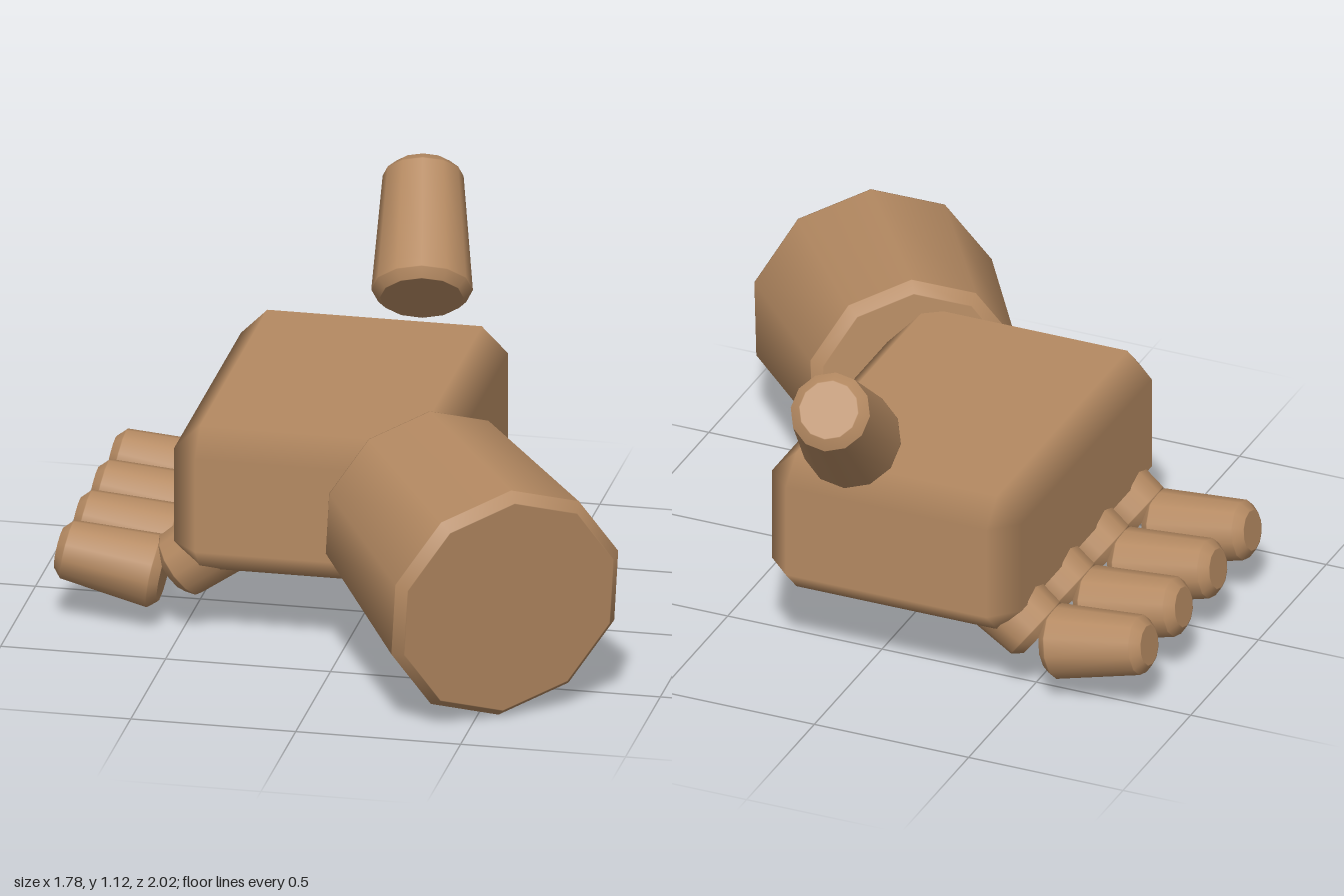
import * as THREE from 'three';
import { ConvexGeometry } from 'three/addons/geometries/ConvexGeometry.js';

const skin = new THREE.MeshStandardMaterial({ color: 0xb58a62 });

// Box with a chamfer on every edge; normals stay flat on the six faces and blend across the chamfers
function chamferBox(w, h, d, c) {
  const half = [w / 2, h / 2, d / 2];
  const points = [];
  for (let axis = 0; axis < 3; axis++) {
    for (const sx of [-1, 1]) for (const sy of [-1, 1]) for (const sz of [-1, 1]) {
      const p = [sx, sy, sz].map((s, i) => s * (half[i] - (i === axis ? 0 : c)));
      points.push(new THREE.Vector3(...p));
    }
  }
  const geometry = new ConvexGeometry(points);
  const pos = geometry.attributes.position;
  for (let i = 0; i < pos.count; i++) {
    const p = [pos.getX(i), pos.getY(i), pos.getZ(i)];
    const n = p.map((v, k) => (Math.abs(Math.abs(v) - half[k]) < 1e-4 ? Math.sign(v) : 0));
    geometry.attributes.normal.setXYZ(i, ...n);
  }
  return geometry;
}

// Tapered, bevelled limb segment running from point a to point b
function limb(name, a, b, ra, rb, bevel, sides) {
  const start = new THREE.Vector3(...a);
  const axis = new THREE.Vector3(...b).sub(start);
  const len = axis.length();
  const e = 0.003; // tight support loops keep the caps and sides clean
  const at = (y) => ra + (rb - ra) * y / len;
  const profile = [
    [0, 0], [ra - bevel - e, 0], [ra - bevel, 0],
    [at(bevel), bevel], [at(bevel + e), bevel + e],
    [at(len - bevel - e), len - bevel - e], [at(len - bevel), len - bevel],
    [rb - bevel, len], [rb - bevel - e, len], [0, len],
  ].map(([x, y]) => new THREE.Vector2(x, y));
  const mesh = new THREE.Mesh(new THREE.LatheGeometry(profile, sides), skin);
  mesh.name = name;
  // A corner of the ring points straight up
  const y = axis.normalize();
  const z = new THREE.Vector3(0, 1, 0).addScaledVector(y, -y.y).normalize();
  const x = new THREE.Vector3().crossVectors(y, z);
  mesh.quaternion.setFromRotationMatrix(new THREE.Matrix4().makeBasis(x, y, z));
  mesh.position.copy(start);
  return mesh;
}

export function createModel() {
  const hand = new THREE.Group();
  hand.name = 'hand';

  // Palm block
  const palm = new THREE.Mesh(chamferBox(0.81, 0.455, 1.12, 0.08), skin);
  palm.name = 'palm';
  palm.position.set(-0.105, 0.46, -0.15);
  hand.add(palm);

  // Wrist, angled out of the front corner
  hand.add(limb('wrist', [0.22, 0.46, 0.255], [0.605, 0.372, 0.805], 0.325, 0.38, 0.03, 10));

  // Thumb, floating above the back edge
  hand.add(limb('thumb', [0.04, 0.765, -0.625], [-0.025, 1.05, -0.95], 0.153, 0.118, 0.027, 12));

  // Four curled fingers, two segments each
  for (let i = 0; i < 4; i++) {
    const z = 0.235 - i * 0.254;
    const finger = new THREE.Group();
    finger.name = 'finger' + (i + 1);
    finger.add(
      limb('fingerBase', [-0.25, 0.4, z], [-0.53, 0.187, z], 0.125, 0.105, 0.025, 12),
      limb('fingerTip', [-0.56, 0.17, z], [-0.878, 0.226, z], 0.115, 0.088, 0.025, 12),
    );
    hand.add(finger);
  }
  return hand;
}
